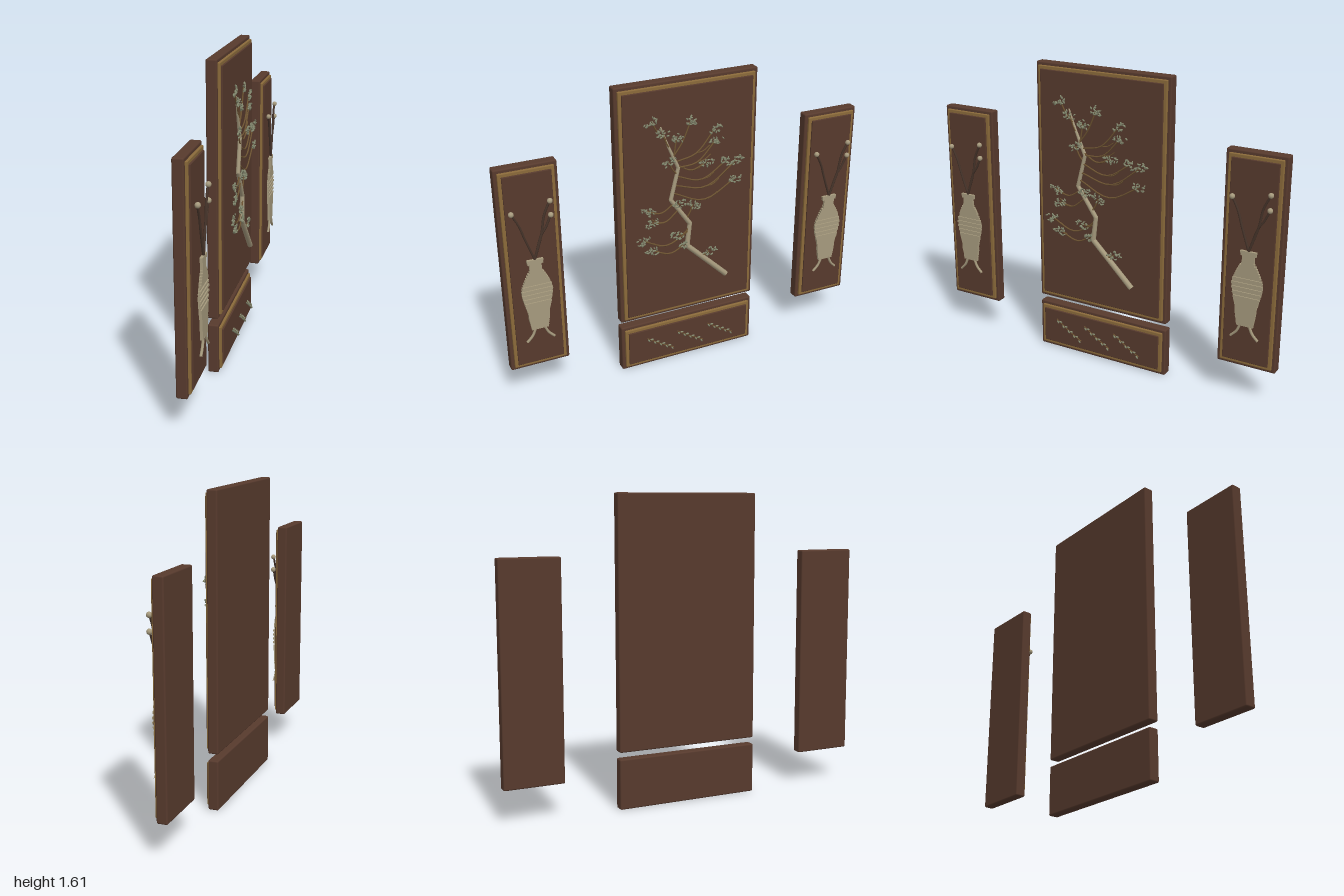
import * as THREE from 'three';
import { RoundedBoxGeometry } from 'three/addons/geometries/RoundedBoxGeometry.js';

const mat = (name, color) => {
  const m = new THREE.MeshStandardMaterial({ color });
  m.name = name;
  return m;
};

export function createModel() {
  const root = new THREE.Group();
  const wood = mat('darkWood', 0x573a2d);
  const gold = mat('agedGold', 0x8a6a3a);
  const ivory = mat('ivory', 0xa69a7d);
  const bark = mat('twigBrown', 0x6e5432);
  const stemWood = mat('stemBrown', 0x46342a);
  const leaf = mat('paleGreenLeaf', 0x858a70);

  const add = (parent, name, geo, material, x = 0, y = 0, z = 0) => {
    const m = new THREE.Mesh(geo, material);
    m.name = name;
    m.position.set(x, y, z);
    parent.add(m);
    return m;
  };
  const group = (name, parent = root) => {
    const g = new THREE.Group();
    g.name = name;
    parent.add(g);
    return g;
  };
  // Tapered rod between two [z, y] points on the plane at depth x
  const rod = (parent, name, a, b, r1, r2, material, x) => {
    const d = new THREE.Vector3(0, b[1] - a[1], b[0] - a[0]);
    const m = add(parent, name, new THREE.CylinderGeometry(r2, r1, d.length(), 8), material,
      x, (a[1] + b[1]) / 2, (a[0] + b[0]) / 2);
    m.quaternion.setFromUnitVectors(new THREE.Vector3(0, 1, 0), d.normalize());
  };
  const tube = (parent, name, pts, r, material, x) => {
    const curve = new THREE.CatmullRomCurve3(pts.map(([z, y]) => new THREE.Vector3(x, y, z)));
    add(parent, name, new THREE.TubeGeometry(curve, 10, r, 6), material);
  };

  // Stepped panel: rounded slab, gold moulding and raised field
  const panel = (name, z, y0, y1, width) => {
    const g = group(name);
    const h = y1 - y0, y = (y0 + y1) / 2;
    add(g, 'slab', new RoundedBoxGeometry(0.055, h, width, 2, 0.008), wood, -0.0325, y, z);
    add(g, 'moulding', new RoundedBoxGeometry(0.03, h - 0.036, width - 0.036, 2, 0.004), gold, -0.008, y, z);
    add(g, 'field', new RoundedBoxGeometry(0.03, h - 0.07, width - 0.07, 2, 0.003), wood, 0, y, z);
    return g;
  };
  const centre = panel('centrePanel', 0, 0.3, 1.612, 0.78);
  const lower = panel('lowerPanel', 0, 0, 0.265, 0.78);

  // Side panels with vase reliefs
  const profile = [[0.43, 0.044], [0.49, 0.054], [0.52, 0.055], [0.56, 0.065], [0.61, 0.077], [0.645, 0.081],
    [0.67, 0.076], [0.71, 0.06], [0.74, 0.045], [0.76, 0.031], [0.795, 0.031], [0.805, 0.042], [0.83, 0.042]];
  const halfWidth = (y) => {
    const i = Math.max(1, profile.findIndex((p) => p[0] >= y));
    const [y0, w0] = profile[i - 1], [y1, w1] = profile[i];
    return w0 + (w1 - w0) * (y - y0) / (y1 - y0);
  };
  for (const z of [0.843, -0.843]) {
    const g = panel(z > 0 ? 'leftSidePanel' : 'rightSidePanel', z, 0.18, 1.305, 0.314);
    const vase = group('vase', g);
    for (let i = 0; i < 33; i++) {
      const y = 0.431 + i * 0.012;
      const d = y > 0.57 && y < 0.7 && i % 2 ? 0.008 : 0.014;
      add(vase, 'vaseRow', new THREE.BoxGeometry(d, 0.012, 2 * halfWidth(y)), ivory, 0.028 + d / 2, y, z);
    }
    for (const s of [1, -1]) {
      tube(vase, 'foot', [[z + s * 0.022, 0.435], [z + s * 0.042, 0.39], [z + s * 0.072, 0.358]], 0.007, ivory, 0.037);
    }
    // Flower stems and buds
    for (const [dz, y] of [[0.098, 1.085], [-0.096, 1.12], [-0.096, 1.045]]) {
      tube(g, 'stem', [[z, 0.82], [z + dz * 0.45, 0.95], [z + dz * 0.65, y - 0.07], [z + dz, y]], 0.006, stemWood, 0.036);
      add(g, 'bud', new THREE.SphereGeometry(0.014, 12, 8), ivory, 0.038, y, z + dz);
    }
  }

  // Tree trunk
  const tree = group('tree', centre);
  const trunk = [[-0.206, 0.484], [0.024, 0.709], [0.008, 0.837], [0.115, 0.992], [0.072, 1.163], [0.126, 1.286], [0.165, 1.393]];
  const radii = [0.015, 0.014, 0.012, 0.011, 0.01, 0.007, 0.004];
  trunk.slice(1).forEach((p, i) => {
    rod(tree, 'trunk', trunk[i], p, radii[i], radii[i + 1], ivory, 0.038);
    add(tree, 'trunkJoint', new THREE.SphereGeometry(radii[i + 1], 8, 6), ivory, 0.038, p[1], p[0]);
  });

  // Boughs: root on the trunk, then the leaf cluster position
  const boughs = [
    [0.14, 1.33, 0.217, 1.436], [0.126, 1.286, 0.158, 1.366], [0.1, 1.23, 0.003, 1.409], [0.08, 1.2, -0.131, 1.345],
    [0.075, 1.165, -0.137, 1.281], [0.1, 1.22, 0.083, 1.329], [0.08, 1.13, 0.126, 1.206], [0.08, 1.18, -0.083, 1.168],
    [0.085, 1.12, -0.195, 1.155], [0.095, 1.07, -0.255, 1.147], [0.105, 1.03, -0.249, 1.045], [0.1, 0.97, 0.244, 0.954],
    [0.075, 0.93, 0.222, 0.885], [0.09, 0.955, 0.067, 0.965], [0.03, 0.87, -0.008, 0.944], [0.01, 0.8, 0.276, 0.794],
    [0.015, 0.74, 0.222, 0.725], [0.01, 0.82, 0.083, 0.784], [0.0, 0.68, 0.035, 0.725], [-0.04, 0.645, -0.105, 0.65]];
  let seed = 7;
  const rand = () => (seed = (seed * 16807) % 2147483647) / 2147483647;
  const leafGeo = new THREE.SphereGeometry(1, 6, 4);
  const addLeaf = (parent, z, y, angle, length, material, x) => {
    const m = add(parent, 'leaf', leafGeo, material, x, y, z);
    m.scale.set(0.005, length * 0.42, length);
    m.rotation.x = angle;
  };
  boughs.forEach(([z0, y0, z1, y1], i) => {
    const sag = Math.abs(z1 - z0) * 0.22;
    tube(tree, 'bough', [[z0, y0], [z0 * 0.5 + z1 * 0.5, (y0 + y1) / 2 - sag], [z1, y1]], 0.004, bark, 0.042);
    // Fine twigs under longer boughs
    if (sag > 0.03) {
      const side = Math.sign(z1 - z0);
      const mz = (z0 + z1) / 2, my = (y0 + y1) / 2 - sag;
      tube(tree, 'twig', [[mz, my], [mz + side * 0.04, my + 0.006], [mz + side * 0.075, my + 0.03]], 0.003, bark, 0.042);
    }
    // Leaf cluster
    const cluster = group('leafCluster', tree);
    const tilt = (i % 3 - 1) * 0.4;
    for (let k = 0; k < 20; k++) {
      const a = rand() * Math.PI * 2, r = Math.sqrt(rand());
      const u = Math.cos(a) * r * 0.042, v = Math.sin(a) * r * 0.023;
      addLeaf(cluster, z1 + u * Math.cos(tilt) - v * Math.sin(tilt), y1 + u * Math.sin(tilt) + v * Math.cos(tilt),
        rand() * Math.PI, 0.009, leaf, 0.044 + rand() * 0.007);
    }
  });

  // Three leafy sprigs on the lower panel
  for (const z of [0.26, 0.083, -0.099]) {
    const g = group('sprig', lower);
    tube(g, 'sprigStem', [[z, 0.192], [z - 0.08, 0.137], [z - 0.155, 0.095]], 0.003, bark, 0.038);
    for (let k = 0; k < 9; k++) {
      const t = (k + 0.5) / 9, s = k % 2 ? 1 : -1;
      addLeaf(g, z - 0.155 * t, 0.19 - 0.097 * t + s * 0.007, -0.5 + s * 0.5, 0.011, leaf, 0.041);
    }
  }
  return root;
}
